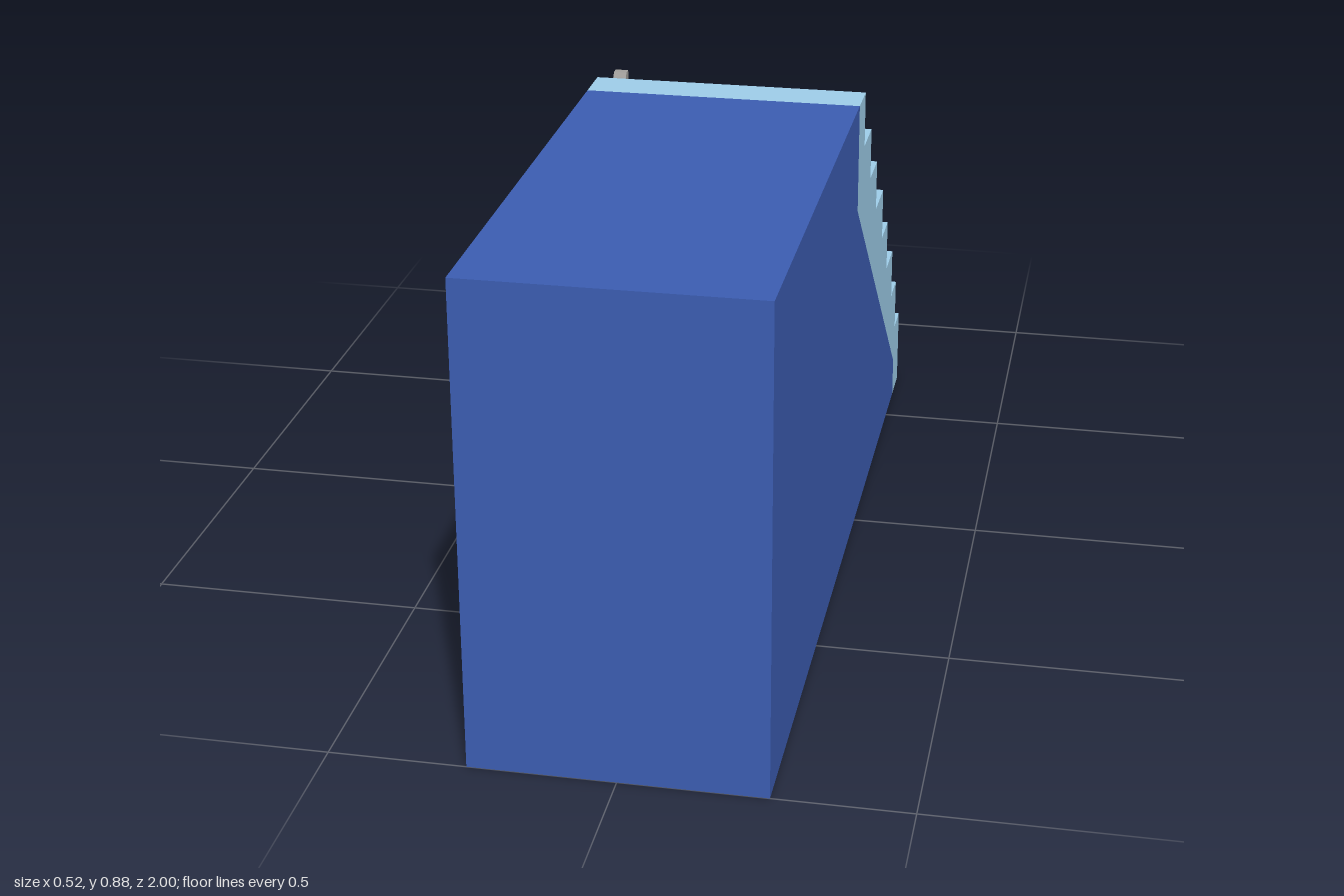
import * as THREE from 'three';

const HALF = 0.258; // half width of the staircase
const TOP = 0.882;

const material = (color) => new THREE.MeshStandardMaterial({ color, flatShading: true });

// Shape from [z, y] pairs; the shape's own x axis is -z.
const sideShape = (points) => new THREE.Shape(points.map(([z, y]) => new THREE.Vector2(-z, y)));

// Extrude a side profile across the width from x0 to x1.
function slab(name, shape, x0, x1, mat) {
  const geo = new THREE.ExtrudeGeometry(shape, { depth: x1 - x0, bevelEnabled: false, curveSegments: 24 });
  geo.rotateY(Math.PI / 2).translate(x0, 0, 0);
  const mesh = new THREE.Mesh(geo, mat);
  mesh.name = name;
  return mesh;
}

export function createModel() {
  const model = new THREE.Group();
  model.name = 'staircase';
  const blue = material(0x3b5cb1);
  const paleBlue = material(0x9dcce8);
  const grey = material(0xa09e9b);

  // Solid base block with a sloping back
  const slope = [[0.045, TOP], [0.045, 0.675], [-0.612, 0.08], [-0.612, 0]];
  const basePoints = [[1, 0], [0.992, TOP], ...slope];
  const pocketEnd = -HALF + 0.3;
  model.add(slab('baseCore', sideShape(basePoints), pocketEnd, HALF, blue));

  // Side part of the base, with an arched niche divided by narrow bars
  const side = sideShape(basePoints);
  const low = 0.06, high = 0.465, radius = (high - low) / 2;
  const a = Math.acos(0.035 / radius);
  const arch = new THREE.Path();
  arch.absarc(-0.07, (low + high) / 2, radius, -a, a, false);
  arch.closePath();
  side.holes.push(arch);
  for (const [z0, z1] of [[0.065, 0.215], [0.245, 0.395], [0.425, 0.515]]) {
    // Counter-clockwise, like the arch, so the niche walls face inwards
    side.holes.push(new THREE.Path([[z1, low], [z0, low], [z0, high], [z1, high]]
      .map(([z, y]) => new THREE.Vector2(-z, y))));
  }
  model.add(slab('baseSide', side, -HALF, pocketEnd, blue));

  // Steps: [back edge z, tread height], top to bottom
  const treads = [[-0.037, TOP], [-0.137, 0.776], [-0.237, 0.675], [-0.35, 0.574],
    [-0.442, 0.469], [-0.542, 0.365], [-0.623, 0.262], [-0.697, 0.157]];
  const outline = [];
  treads.forEach(([z, y], i) => {
    outline.push([z, y], [z, i < treads.length - 1 ? treads[i + 1][1] : 0]);
  });
  model.add(slab('steps', sideShape([...outline, ...slope.slice().reverse()]), -HALF, HALF, paleBlue));

  // Row of loose pegs following the flight: [distance along peg, half height]
  const pegProfile = [[0, 0.021], [0.073, 0.021], [0.103, 0.009], [0.136, 0.009], [0.142, 0.018], [0.158, 0.018]];
  const pegShape = sideShape([
    ...pegProfile.map(([d, h]) => [-d, -h]),
    ...pegProfile.slice().reverse().map(([d, h]) => [-d, h]),
  ]);
  const pegs = new THREE.Group();
  pegs.name = 'pegs';
  for (let i = 0; i < 8; i++) {
    const peg = slab('peg', pegShape, -HALF, -HALF + 0.025, grey);
    peg.position.set(0, 0.831 - i * 0.1045, -0.034 - i * 0.1154);
    pegs.add(peg);
  }
  model.add(pegs);
  return model;
}
